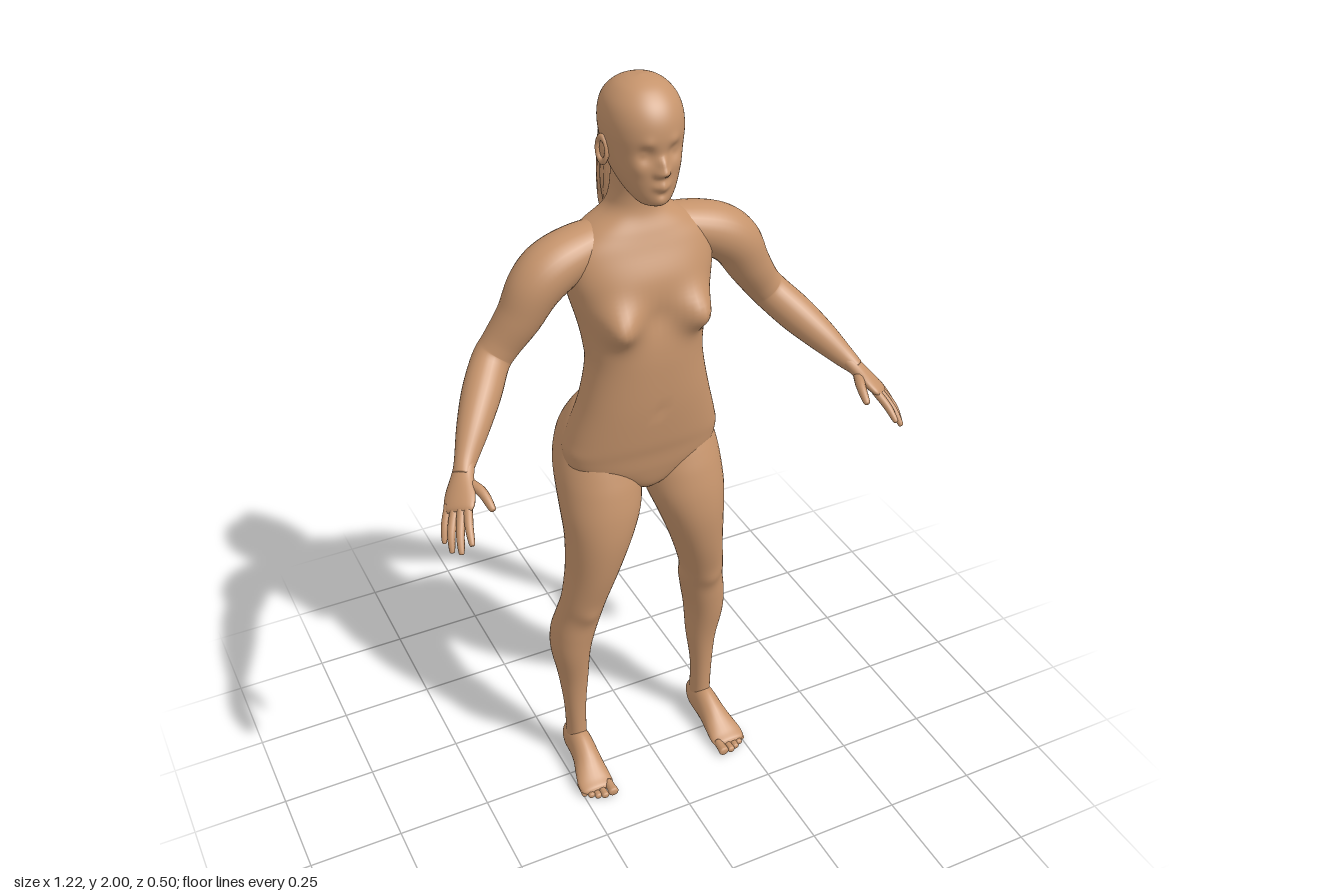
import * as THREE from 'three';

const V = (x, y, z) => new THREE.Vector3(x, y, z);

// Catmull-Rom resampling of rows of numbers
function resample(rows, steps) {
  const out = [], last = rows.length - 1;
  for (let i = 0; i < last; i++) {
    const a = rows[Math.max(i - 1, 0)], b = rows[i], c = rows[i + 1], d = rows[Math.min(i + 2, last)];
    for (let k = 0; k < steps; k++) {
      const t = k / steps;
      out.push(b.map((_, j) => b[j] + 0.5 * t * (c[j] - a[j]
        + t * (2 * a[j] - 5 * b[j] + 4 * c[j] - d[j] + t * (3 * (b[j] - c[j]) + d[j] - a[j])))));
    }
  }
  out.push(rows[last]);
  return out;
}

// Closed skin over a stack of rings, capped at both ends
function skin(rings) {
  const n = rings[0].length, pos = [], idx = [];
  rings.forEach(r => r.forEach(p => pos.push(p.x, p.y, p.z)));
  for (let i = 0; i < rings.length - 1; i++) for (let j = 0; j < n; j++) {
    const a = i * n + j, b = i * n + (j + 1) % n;
    idx.push(a, a + n, b, b, a + n, b + n);
  }
  [0, rings.length - 1].forEach((r, end) => {
    const mid = rings[r].reduce((s, p) => s.add(p), V(0, 0, 0)).divideScalar(n);
    const c = pos.length / 3;
    pos.push(mid.x, mid.y, mid.z);
    for (let j = 0; j < n; j++) {
      const a = r * n + j, b = r * n + (j + 1) % n;
      if (end) idx.push(a, c, b); else idx.push(a, b, c);
    }
  });
  const g = new THREE.BufferGeometry();
  g.setAttribute('position', new THREE.Float32BufferAttribute(pos, 3));
  g.setIndex(idx);
  g.computeVertexNormals();
  return g;
}

const power = (v, e) => Math.sign(v) * Math.pow(Math.abs(v), e);

// Level sections, bottom to top: [y, centre x, half width, front z, back z]
function loft(rows, seg, steps, n = 2) {
  return skin(resample(rows, steps).map(([y, cx, rx, zf, zb]) =>
    Array.from({ length: seg }, (_, j) => {
      const t = j / seg * Math.PI * 2;
      return V(cx + rx * power(Math.cos(t), 2 / n), y, (zf + zb) / 2 + (zf - zb) / 2 * power(Math.sin(t), 2 / n));
    })));
}

// Sections across a path: [x, y, z, half size along side, half size across it]
function sweep(rows, side, seg = 12, steps = 5) {
  const pts = resample(rows, steps);
  return skin(pts.map((p, i) => {
    const q = pts[Math.max(i - 1, 0)], r = pts[Math.min(i + 1, pts.length - 1)];
    const t = V(r[0] - q[0], r[1] - q[1], r[2] - q[2]).normalize();
    const u = side.clone().addScaledVector(t, -side.dot(t)).normalize();
    const v = u.clone().cross(t);
    return Array.from({ length: seg }, (_, j) => {
      const a = j / seg * Math.PI * 2;
      return V(p[0], p[1], p[2]).addScaledVector(u, Math.cos(a) * p[3]).addScaledVector(v, Math.sin(a) * p[4]);
    });
  }));
}

// Soft swellings and hollows: [x, y, z, radius, dx, dy, dz], mirrored when off centre
function sculpt(g, bumps) {
  const all = bumps.flatMap(b => b[0] ? [b, [-b[0], b[1], b[2], b[3], -b[4], b[5], b[6]]] : [b]);
  const p = g.attributes.position, o = V(), c = V();
  for (let i = 0; i < p.count; i++) {
    o.fromBufferAttribute(p, i);
    c.copy(o);
    for (const [x, y, z, r, dx, dy, dz] of all) {
      const w = Math.exp(-((o.x - x) ** 2 + (o.y - y) ** 2 + (o.z - z) ** 2) / (r * r));
      c.add(V(dx * w, dy * w, dz * w));
    }
    p.setXYZ(i, c.x, c.y, c.z);
  }
  g.computeVertexNormals();
  return g;
}

function mirrored(g) {
  const m = g.clone().scale(-1, 1, 1), a = m.index.array;
  for (let i = 0; i < a.length; i += 3) [a[i], a[i + 1]] = [a[i + 1], a[i]];
  m.computeVertexNormals();
  return m;
}

export function createModel() {
  const skinTone = new THREE.MeshStandardMaterial({ color: 0xc6946c });
  skinTone.name = 'skin';
  const model = new THREE.Group();
  model.name = 'figure';
  const add = (name, g) => {
    const m = new THREE.Mesh(g, skinTone);
    m.name = name;
    model.add(m);
  };
  const pair = (name, g) => { add(name + 'Left', g); add(name + 'Right', mirrored(g)); };

  // Trunk and neck
  add('torso', sculpt(loft([
    [.925, 0, .03, 0, -.08], [.95, 0, .08, .02, -.11], [1, 0, .185, .034, -.155], [1.05, 0, .206, .042, -.16],
    [1.1, 0, .197, .052, -.16], [1.2, 0, .168, .064, -.137], [1.3, 0, .148, .068, -.132], [1.36, 0, .15, .066, -.142],
    [1.42, 0, .16, .058, -.157], [1.48, 0, .175, .055, -.172], [1.54, 0, .185, .045, -.178], [1.6, 0, .18, .018, -.173],
    [1.64, 0, .135, 0, -.16], [1.68, 0, .076, -.018, -.143], [1.72, 0, .058, -.02, -.135], [1.78, 0, .055, -.01, -.13],
  ], 72, 6, 2.3), [
    [.1, 1.445, .05, .05, .012, -.01, .05], [0, 1.45, .06, .035, 0, 0, -.008],
    [0, 1.4, -.15, .05, 0, 0, .014], [0, 1.28, -.13, .05, 0, 0, .012], [0, 1.5, -.175, .05, 0, 0, .012],
    [.09, 1.52, -.17, .06, 0, 0, -.008], [0, 1.19, .064, .012, 0, 0, -.006],
  ]));

  // Legs, rounded into the seat at the top
  pair('leg', sculpt(loft([
    [.05, .198, .03, -.03, -.1], [.1, .197, .027, -.035, -.105], [.2, .198, .03, -.035, -.105], [.3, .198, .04, -.028, -.125],
    [.4, .203, .052, -.012, -.14], [.47, .196, .058, -.003, -.138], [.54, .182, .06, .006, -.118], [.6, .173, .059, .025, -.103],
    [.7, .152, .068, .05, -.11], [.8, .133, .086, .063, -.122], [.88, .12, .103, .06, -.145], [.95, .113, .109, .046, -.182],
    [1, .11, .107, .03, -.204], [1.05, .105, .1, .012, -.21], [1.1, .1, .09, 0, -.197], [1.16, .09, .07, -.03, -.16],
    [1.2, .08, .04, -.05, -.13],
  ], 40, 5, 2.1), [[.18, .56, .01, .03, 0, 0, .008], [.18, .52, -.12, .04, 0, 0, .006]]));

  // Feet with toes
  const foot = sweep([
    [.198, .03, -.116, .01, .014], [.198, .042, -.108, .024, .034], [.198, .05, -.085, .032, .045], [.198, .055, -.045, .034, .054],
    [.2, .046, 0, .037, .044], [.204, .031, .04, .044, .03], [.207, .02, .075, .049, .019], [.207, .015, .098, .045, .013],
    [.207, .014, .106, .03, .007],
  ], V(1, 0, 0), 24, 5);
  const fp = foot.attributes.position;
  for (let i = 0; i < fp.count; i++) fp.setY(i, Math.max(0, fp.getY(i)));
  foot.computeVertexNormals();
  pair('foot', foot);
  [[.174, .134, .015], [.198, .133, .011], [.216, .126, .01], [.232, .116, .01], [.247, .103, .009]].forEach(([x, z, r], i) =>
    pair('toe' + (i + 1), sweep([
      [x, r + .002, z - .045, r * .8, r * .8], [x, r + .001, z - .02, r * .9, r * .85], [x, r, z - .007, r, r * .9],
      [x, r, z - .002, r * .75, r * .65], [x, r, z, r * .2, r * .2],
    ], V(1, 0, 0), 10, 4)));

  // Arms, starting inside the shoulder girdle
  pair('arm', sweep([
    [.04, 1.625, -.08, .045, .035], [.13, 1.598, -.082, .066, .056], [.21, 1.569, -.074, .071, .066], [.26, 1.53, -.068, .066, .064],
    [.3, 1.462, -.07, .055, .055], [.345, 1.395, -.08, .046, .048], [.375, 1.358, -.075, .045, .047], [.42, 1.31, -.025, .046, .047],
    [.465, 1.262, .03, .038, .039], [.505, 1.217, .08, .026, .027], [.525, 1.196, .105, .025, .02],
  ], V(0, 0, 1), 28, 6));

  // Hands: palm, four fingers and a thumb
  const across = V(-.035, .012, .05);
  pair('palm', sweep([
    [.505, 1.217, .08, .024, .02], [.525, 1.194, .108, .029, .019], [.543, 1.172, .138, .039, .017],
    [.557, 1.155, .165, .04, .013], [.562, 1.149, .174, .032, .007],
  ], across, 20, 5));
  const finger = (name, a, b, c, r) => pair(name, sweep([
    [...a, r, r], [...b, r * .95, r * .95], [...c, r * .65, r * .65],
    [...c.map((v, i) => v + (v - b[i]) * .12), r * .15, r * .15],
  ], across, 10, 5));
  finger('indexFinger', [.539, 1.163, .175], [.553, 1.135, .213], [.56, 1.108, .245], .0105);
  finger('middleFinger', [.553, 1.157, .17], [.573, 1.12, .208], [.583, 1.086, .236], .0105);
  finger('ringFinger', [.565, 1.152, .157], [.588, 1.113, .19], [.597, 1.078, .212], .01);
  finger('littleFinger', [.574, 1.152, .14], [.594, 1.115, .163], [.603, 1.083, .179], .009);
  finger('thumb', [.522, 1.187, .12], [.502, 1.182, .165], [.494, 1.16, .208], .013);

  // Head with sculpted face
  add('head', sculpt(loft([
    [1.725, 0, .012, .04, .015], [1.733, 0, .036, .054, -.02], [1.752, 0, .053, .061, -.06], [1.78, 0, .068, .064, -.1],
    [1.81, 0, .079, .064, -.128], [1.85, 0, .087, .064, -.147], [1.89, 0, .092, .066, -.156], [1.925, 0, .09, .06, -.154],
    [1.955, 0, .08, .044, -.142], [1.98, 0, .059, .018, -.115], [1.994, 0, .033, -.01, -.083], [2, 0, .004, -.04, -.048],
  ], 112, 9, 2.1), [
    [0, 1.818, .066, .014, 0, 0, .022], [0, 1.838, .066, .011, 0, 0, .011], [.012, 1.812, .064, .008, 0, 0, .007],
    [.034, 1.855, .058, .018, 0, 0, -.013], [.035, 1.856, .052, .01, 0, 0, .006], [.032, 1.882, .06, .014, 0, 0, .004],
    [.05, 1.822, .05, .02, .002, 0, .003], [0, 1.786, .063, .011, 0, 0, .008], [0, 1.774, .062, .01, 0, 0, .007],
    [.014, 1.78, .062, .009, 0, 0, .004], [0, 1.761, .06, .009, 0, 0, -.005], [0, 1.742, .055, .018, 0, 0, .006],
  ]));

  // Ears: rim and inner bowl
  const rim = new THREE.TorusGeometry(.021, .0065, 10, 24).scale(.72, 1.35, 1).rotateY(Math.PI / 2 - .35).translate(.093, 1.842, -.048);
  pair('earRim', rim);
  pair('earBowl', new THREE.SphereGeometry(1, 16, 12).scale(.007, .026, .014).rotateY(-.35).translate(.088, 1.842, -.047));

  // Ponytail: tie and tapering strands
  add('hairTie', new THREE.TorusGeometry(.012, .006, 8, 18).rotateX(.3).translate(0, 1.922, -.166));
  let seed = 7;
  const rand = () => (seed = (seed * 16807) % 2147483647) / 2147483647 - .5;
  for (let i = 0; i < 16; i++) {
    const x = Math.cos(i * 2.4) * .02, z = Math.sin(i * 2.4) * .026, end = 1.6 + rand() * .07, r = .0115;
    add('hairStrand' + (i + 1), sweep([
      [x * .2, 1.915, -.145, .008, .008], [x * .35, 1.922, -.172 + z * .15, .009, .009],
      [x * .7, 1.88, -.188 + z * .5, r, r], [x, 1.8, -.2 + z, r, r * 1.1], [x * 1.1, 1.7, -.209 + z, r, r * 1.1],
      [x * .9 + rand() * .008, end + .03, -.215 + z * .8, .008, .008], [x * .6 + rand() * .01, end - .02, -.22 + z * .5, .001, .001],
    ], V(1, 0, 0), 8, 6));
  }
  return model;
}
